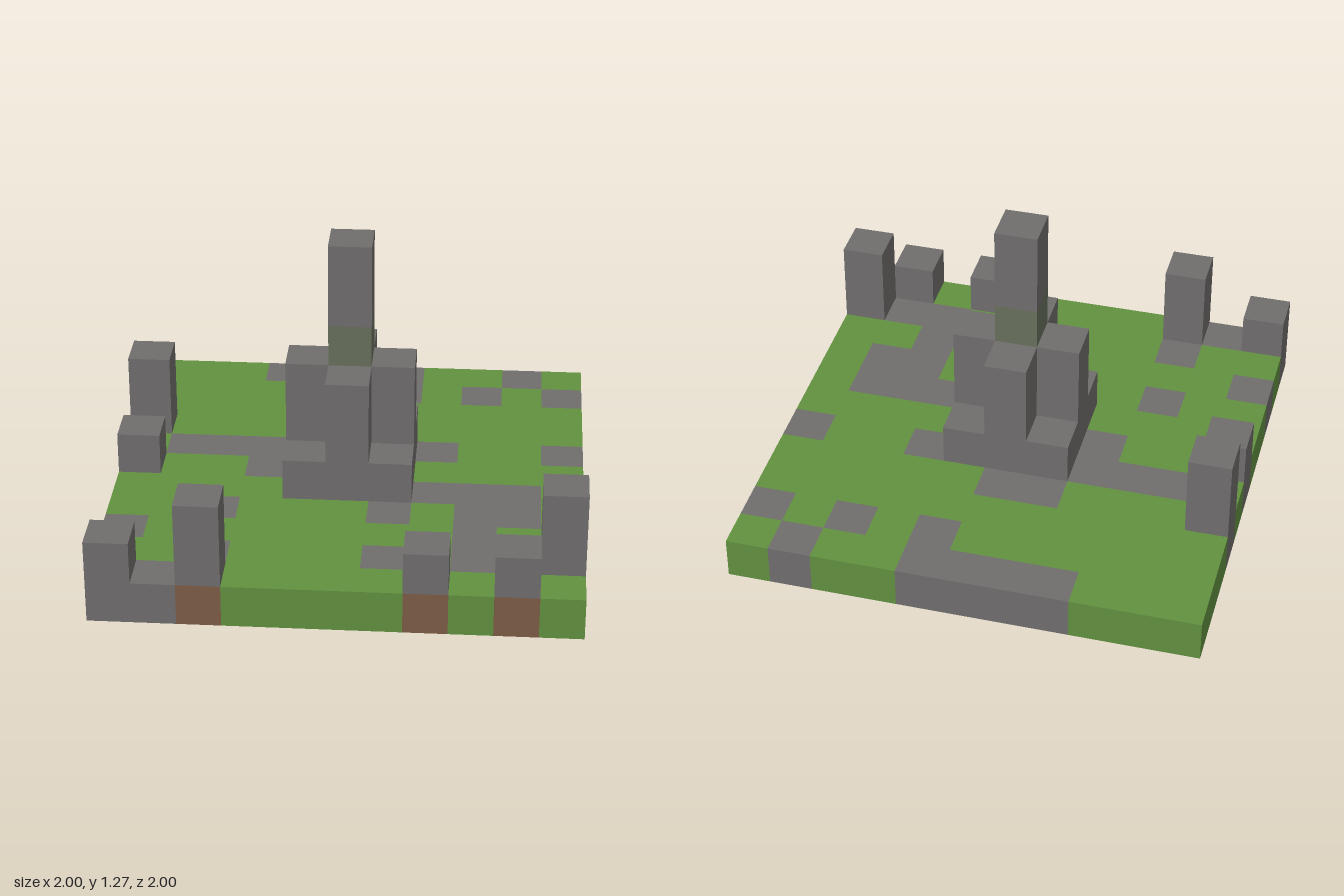
import * as THREE from 'three';
import { mergeGeometries } from 'three/addons/utils/BufferGeometryUtils.js';

const N = 11, S = 2 / N;

// Ground plan, back row first: . grass, # stone, b brick, m mossy stone
const PLAN = [
  '...####..#.',
  '......#.#.#',
  '...........',
  '#...##.....',
  '.#######..#',
  '#..#m#m....',
  '....######.',
  '..#...#.##.',
  '#.......#..',
  '..#...#.##b',
  '##b....b.b.',
];

// Standing stones around the edge: column, row, top level
const STONES = [[0, 3, 3], [0, 5, 2], [0, 10, 2], [2, 10, 3], [7, 10, 2], [9, 10, 2], [10, 9, 3]];

// Outward directions of the six block faces, with the turn that aims a plane that way
const FACES = [
  { d: [1, 0, 0], r: [0, Math.PI / 2] }, { d: [-1, 0, 0], r: [0, -Math.PI / 2] },
  { d: [0, 1, 0], r: [-Math.PI / 2, 0] }, { d: [0, -1, 0], r: [Math.PI / 2, 0] },
  { d: [0, 0, 1], r: [0, 0] }, { d: [0, 0, -1], r: [0, Math.PI] },
];

export function createModel() {
  const paint = (name, color) => {
    const m = new THREE.MeshStandardMaterial({ color });
    m.name = name;
    return m;
  };
  const materials = {
    '.': paint('grass green', 0x629140),
    '#': paint('stone grey', 0x706e6d),
    b: paint('brick brown', 0x7f5c47),
    m: paint('mossy stone', 0x68705c),
  };

  // Collect the blocks of each part
  const solid = new Set();
  const parts = new Map();
  const key = (c, y, r) => `${c},${y},${r}`;
  const add = (part, kind, c, y, r) => {
    if (!parts.has(part)) parts.set(part, { kind, blocks: [] });
    parts.get(part).blocks.push([c, y, r]);
    solid.add(key(c, y, r));
  };
  const column = (part, kind, c, r, from, to) => {
    for (let y = from; y < to; y++) add(part, kind, c, y, r);
  };

  // Ground slab
  const groundNames = { '.': 'grass', '#': 'paving', b: 'brickFootings', m: 'mossyFootings' };
  PLAN.forEach((row, r) => [...row].forEach((k, c) => add(groundNames[k], k, c, 0, r)));

  // Standing stones
  STONES.forEach(([c, r, top], i) => column(`standingStone${i + 1}`, '#', c, r, 1, top));

  // Central monument: stepped base, four buttresses and a tall tower with a mossy band
  for (let c = 4; c <= 6; c++) for (let r = 4; r <= 6; r++) column('monumentBase', '#', c, r, 1, 2);
  for (const [c, r] of [[4, 5], [6, 5], [5, 4], [5, 6]]) column('buttresses', '#', c, r, 2, 4);
  column('towerCore', '#', 5, 5, 2, 4);
  column('towerMossBand', 'm', 5, 5, 4, 5);
  column('towerTop', '#', 5, 5, 5, 7);

  // Turn each part into a mesh of its exposed block faces
  const group = new THREE.Group();
  group.name = 'ruinedMonument';
  for (const [name, { kind, blocks }] of parts) {
    const quads = [];
    for (const [c, y, r] of blocks) {
      for (const { d, r: turn } of FACES) {
        if (solid.has(key(c + d[0], y + d[1], r + d[2]))) continue;
        const quad = new THREE.PlaneGeometry(S, S).rotateX(turn[0]).rotateY(turn[1]);
        quad.translate(
          -1 + (c + 0.5 + d[0] / 2) * S,
          (y + 0.5 + d[1] / 2) * S,
          -1 + (r + 0.5 + d[2] / 2) * S,
        );
        quads.push(quad);
      }
    }
    if (!quads.length) continue;
    const mesh = new THREE.Mesh(mergeGeometries(quads), materials[kind]);
    mesh.name = name;
    group.add(mesh);
  }
  return group;
}
